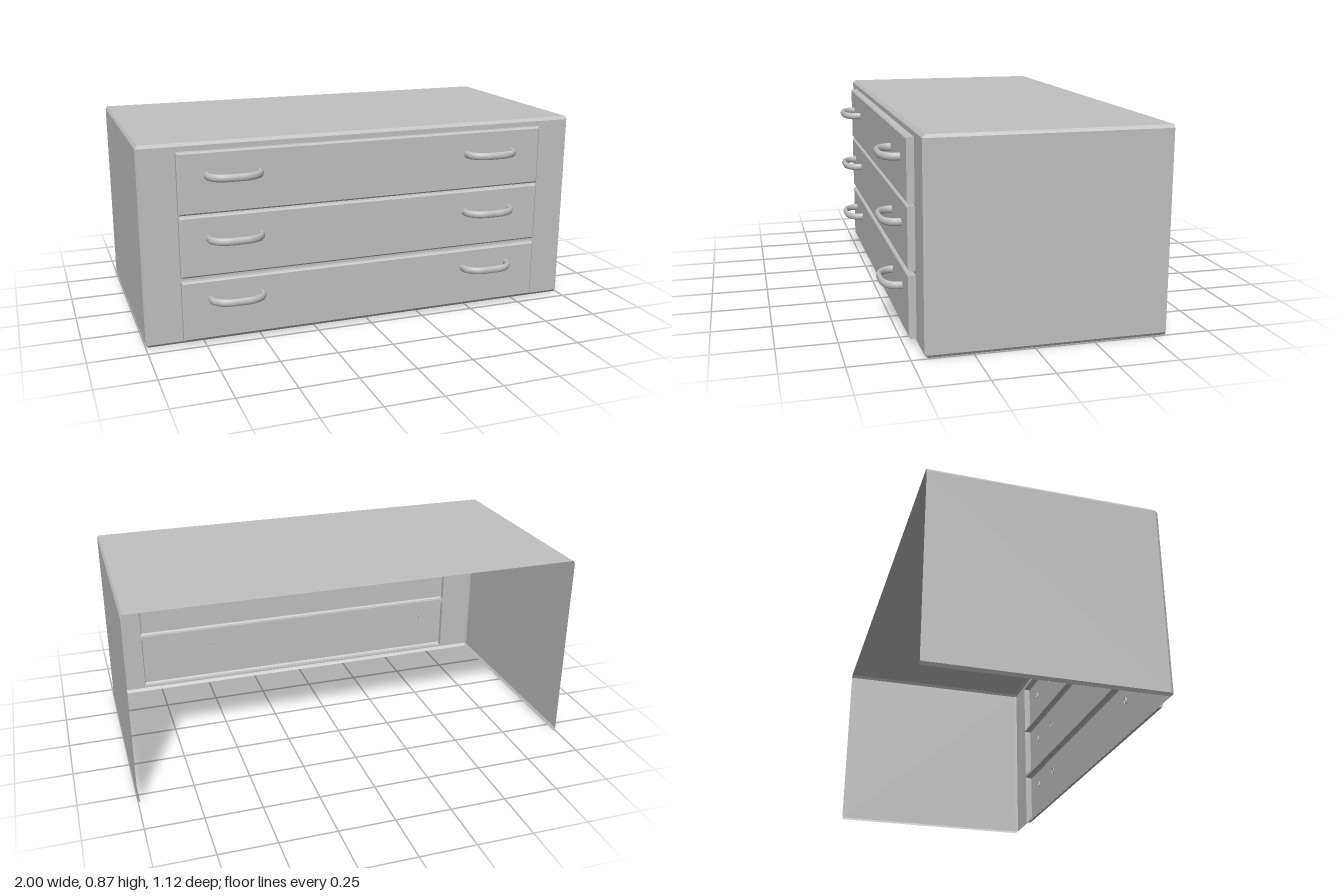
import * as THREE from 'three';

const H = 0.872, BACK = -0.56, FRONT = 0.446, BEVEL = 0.013, BEVEL_X = 0.009;
const DRAWER_X = [-0.842, 0.834];
const DRAWERS = [[0.021, 0.285, 0.2], [0.303, 0.567, 0.468], [0.574, 0.838, 0.737]]; // bottom, top, handle height

// Joins matching rings (anticlockwise seen from the front, listed back to front) with flat quads
function loft(rings, skip = () => false, cap = false) {
  const pos = [];
  const tri = (...pts) => pts.forEach(p => pos.push(...p));
  for (let r = 0; r + 1 < rings.length; r++) {
    const a = rings[r], b = rings[r + 1], n = a.length;
    for (let i = 0; i < n; i++) {
      if (skip(r, i)) continue;
      const j = (i + 1) % n;
      tri(a[i], a[j], b[j]);
      tri(a[i], b[j], b[i]);
    }
  }
  if (cap) {
    const e = rings[rings.length - 1];
    for (let i = 1; i + 1 < e.length; i++) tri(e[0], e[i], e[i + 1]);
  }
  const g = new THREE.BufferGeometry();
  g.setAttribute('position', new THREE.Float32BufferAttribute(pos, 3));
  g.computeVertexNormals();
  return g;
}

const rect = (x0, x1, y0, y1, z) => [[x1, y0, z], [x1, y1, z], [x0, y1, z], [x0, y0, z]];

export function createModel() {
  const group = new THREE.Group();
  const grey = new THREE.MeshStandardMaterial({ color: 0xc0c0c0, side: THREE.DoubleSide });
  grey.name = 'cabinetGrey';
  const add = (geometry, name) => {
    const mesh = new THREE.Mesh(geometry, grey);
    mesh.name = name;
    group.add(mesh);
    return mesh;
  };

  // Thin body shell with chamfered edges, open at the back and underneath
  const ix = 1 - BEVEL_X, top = H - BEVEL;
  const outline = z => [[ix, 0, z], [1, BEVEL, z], [1, top, z], [ix, H, z],
    [-ix, H, z], [-1, top, z], [-1, BEVEL, z], [-ix, 0, z]];
  const face = rect(-ix, ix, BEVEL, top, FRONT).flatMap(p => [p, p]);
  add(loft([outline(BACK), outline(FRONT - BEVEL), face], (r, i) => r === 0 && i === 7), 'bodyShell');

  // Front frame with an opening behind each drawer
  const frame = new THREE.Shape(rect(-ix, ix, BEVEL, top, 0).map(p => new THREE.Vector2(p[0], p[1])));
  for (const [y0, y1] of DRAWERS) {
    frame.holes.push(new THREE.Path(rect(...DRAWER_X, y0, y1, 0).map(p => new THREE.Vector2(p[0], p[1]))));
  }
  add(new THREE.ShapeGeometry(frame).translate(0, 0, FRONT), 'frontFrame');

  // Bow handle: a tube with an oval section
  const bow = [[-0.114, 0.47], [-0.109, 0.505], [-0.086, 0.532], [-0.05, 0.547], [0, 0.549],
    [0.05, 0.547], [0.086, 0.532], [0.109, 0.505], [0.114, 0.47]];
  const path = new THREE.CatmullRomCurve3(bow.map(([x, z]) => new THREE.Vector3(x, 0, z)));
  const handle = new THREE.TubeGeometry(path, 36, 0.011, 12).scale(1, 1.5, 1);

  // Drawers: hollow fronts with a small chamfer and two handles each
  const c = 0.007, [x0, x1] = DRAWER_X;
  DRAWERS.forEach(([y0, y1, hy], i) => {
    add(loft([
      rect(x0, x1, y0, y1, FRONT),
      rect(x0, x1, y0, y1, 0.476 - c),
      rect(x0 + c, x1 - c, y0 + c, y1 - c, 0.476),
    ], undefined, true), `drawerFront${i + 1}`);
    add(handle, `rightHandle${i + 1}`).position.set(-0.608, hy, 0);
    add(handle, `leftHandle${i + 1}`).position.set(0.574, hy, 0);
  });

  return group;
}
